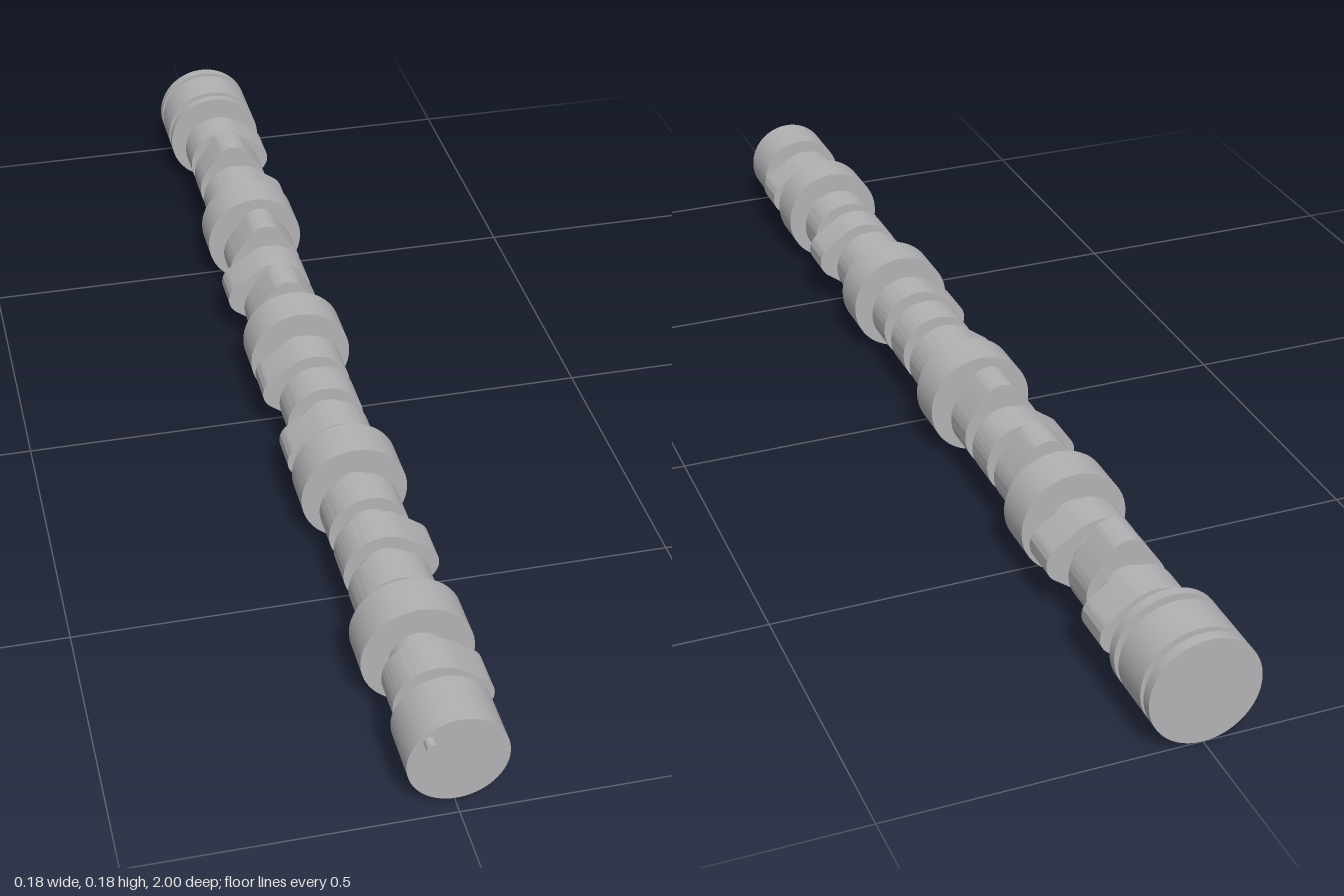
import * as THREE from 'three';
import { toCreasedNormals } from 'three/addons/utils/BufferGeometryUtils.js';

const steel = new THREE.MeshStandardMaterial({ color: 0xb2b2b5 });
steel.name = 'steel';

const AXIS_Y = 0.09;

// Round section along z, centred on the shaft axis unless offset
function round(name, radius, z, length, x = 0, y = 0) {
  const geo = new THREE.CylinderGeometry(radius, radius, length, 64).rotateX(Math.PI / 2);
  const mesh = new THREE.Mesh(geo, steel);
  mesh.position.set(x, AXIS_Y + y, z);
  mesh.name = name;
  return mesh;
}

// Cam profile: base circle and nose circle joined by tangent flanks, nose toward +x
function lobeGeometry(base, nose, tip, width) {
  const d = tip - nose;
  const a = Math.acos((base - nose) / d);
  const shape = new THREE.Shape();
  shape.absarc(0, 0, base, a, Math.PI * 2 - a, false);
  shape.absarc(d, 0, nose, -a, a, false);
  shape.closePath();
  const geo = new THREE.ExtrudeGeometry(shape, { depth: width, bevelEnabled: false, curveSegments: 40 });
  geo.translate(0, 0, -width / 2);
  return toCreasedNormals(geo, 0.5);
}

export function createModel() {
  const model = new THREE.Group();
  model.name = 'camshaft';

  // Core shaft, front hub and dowel pin
  model.add(round('shaft', 0.045, -0.03, 1.92));
  model.add(round('frontHub', 0.078, 0.937, 0.092));
  model.add(round('dowelPin', 0.009, 0.975, 0.05, -0.045, 0.045));

  // Bearing journals
  [0.72, 0.317, -0.09, -0.494, -0.934].forEach((z, i) => {
    model.add(round('journal' + (i + 1), 0.09, z, 0.074));
  });

  // Thin ring and rear end disc
  model.add(round('rearRing', 0.09, -0.874, 0.016));
  model.add(round('endDisc', 0.09, -0.991, 0.018));

  // Cam lobes: [z, direction of the nose in quarter turns from +x]
  const lobes = [
    [0.828, 0],
    [0.62, 3], [0.52, 0], [0.42, 3],
    [0.215, 2], [0.112, 3], [0.014, 2],
    [-0.194, 1], [-0.293, 2], [-0.39, 1],
    [-0.597, 0], [-0.697, 1], [-0.798, 0],
  ];
  const lobeGeo = lobeGeometry(0.067, 0.035, 0.09, 0.067);
  lobes.forEach(([z, quarter], i) => {
    const lobe = new THREE.Mesh(lobeGeo, steel);
    lobe.name = 'camLobe' + (i + 1);
    lobe.position.set(0, AXIS_Y, z);
    lobe.rotation.z = quarter * Math.PI / 2;
    model.add(lobe);
  });

  return model;
}
